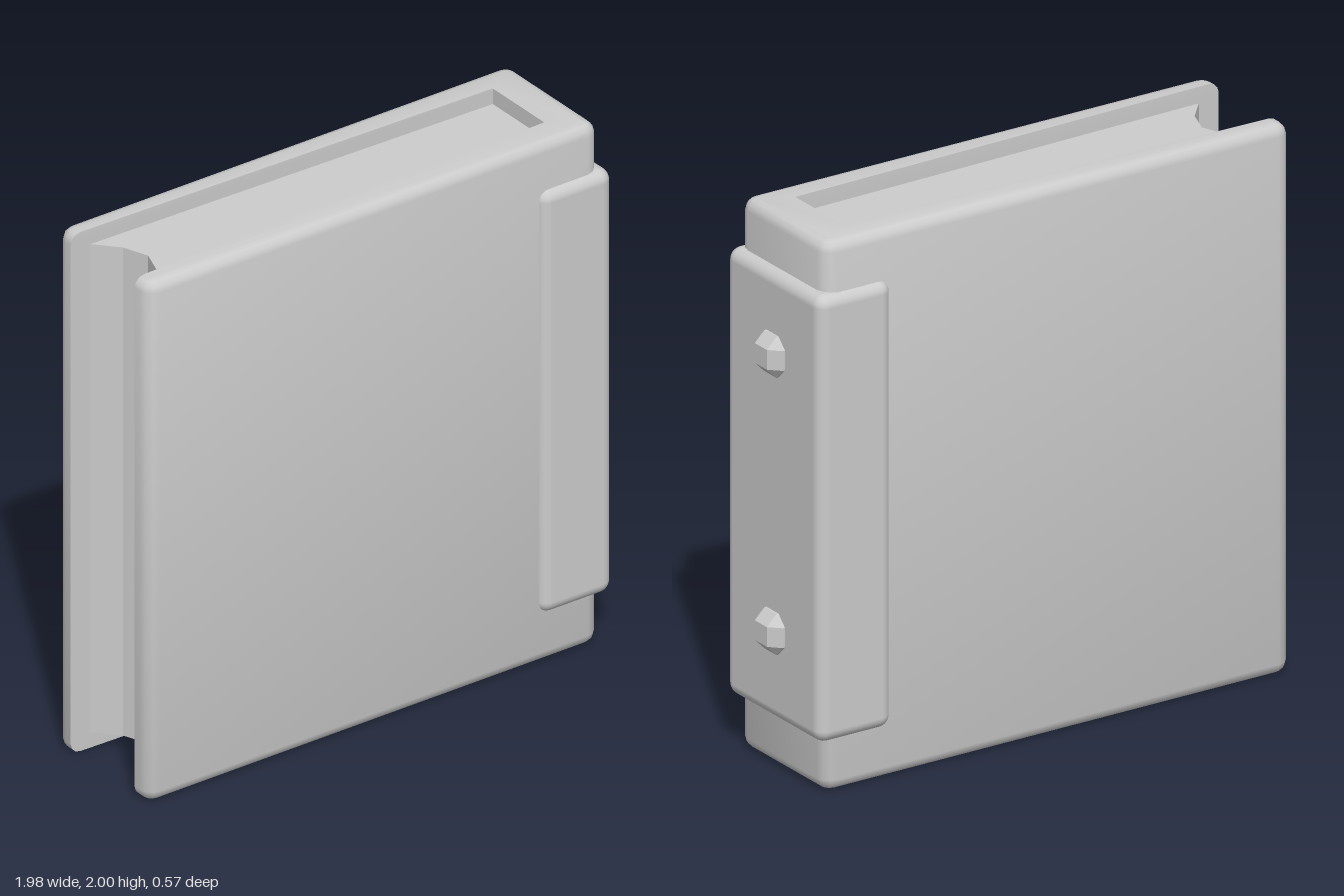
import * as THREE from 'three';
import { toCreasedNormals } from 'three/addons/utils/BufferGeometryUtils.js';
import { RoundedBoxGeometry } from 'three/addons/geometries/RoundedBoxGeometry.js';
import { ConvexGeometry } from 'three/addons/geometries/ConvexGeometry.js';

const X0 = -0.99, X1 = 0.9, HALF = 0.258, HEIGHT = 2;
const CORNER = 0.05, EDGE = 0.04, STEPS = 3;

// U-shaped cover outline as (x, -z); only the outer side moves with the inset
function coverOutline(inset) {
  const points = [new THREE.Vector2(X0 + inset, -0.18)];
  const cx0 = X0 + CORNER, cx1 = X1 - CORNER, cz = HALF - CORNER, r = CORNER - inset;
  [[cx0, -cz, 2], [cx1, -cz, 3], [cx1, cz, 4], [cx0, cz, 5]].forEach(([x, y, quarter]) => {
    for (let i = 0; i <= STEPS; i++) {
      const a = (quarter + i / STEPS) * Math.PI / 2;
      points.push(new THREE.Vector2(x + r * Math.cos(a), y + r * Math.sin(a)));
    }
  });
  points.push(new THREE.Vector2(X0 + inset, 0.18), new THREE.Vector2(0.75, 0.145), new THREE.Vector2(0.75, -0.145));
  return points;
}

// Stacks the outlines upwards, rounding the outer rim at both ends
function coverGeometry() {
  const layers = [];
  for (let i = STEPS; i >= 0; i--) {
    const a = (i / STEPS) * Math.PI / 2;
    layers.push([EDGE * (1 - Math.cos(a)), EDGE * (1 - Math.sin(a))]);
  }
  const upper = layers.map(([inset, y]) => [inset, HEIGHT - y]).reverse();
  const rings = [...layers, ...upper];

  const positions = [], index = [];
  rings.forEach(([inset, y]) => coverOutline(inset).forEach(p => positions.push(p.x, y, -p.y)));
  const n = coverOutline(0).length;
  for (let k = 0; k < rings.length - 1; k++) {
    for (let j = 0; j < n; j++) {
      const a = k * n + j, b = k * n + (j + 1) % n;
      index.push(a, b, b + n, a, b + n, a + n);
    }
  }
  const top = (rings.length - 1) * n;
  THREE.ShapeUtils.triangulateShape(coverOutline(EDGE), []).forEach(([a, b, c]) => {
    index.push(top + a, top + b, top + c, c, b, a);
  });
  const geometry = new THREE.BufferGeometry();
  geometry.setAttribute('position', new THREE.Float32BufferAttribute(positions, 3));
  geometry.setIndex(index);
  return toCreasedNormals(geometry, 0.7);
}

// Page block with a hollow fore-edge, tucked slightly into the cover
function pagesGeometry() {
  const outline = [[-0.91, -0.18], [0.77, -0.15], [0.77, 0.15], [-0.91, 0.18], [-0.835, 0.095], [-0.8, 0], [-0.835, -0.095]];
  const shape = new THREE.Shape(outline.map(([x, y]) => new THREE.Vector2(x, y)));
  return new THREE.ExtrudeGeometry(shape, { depth: 1.88, bevelEnabled: false })
    .rotateX(-Math.PI / 2).translate(0, 0.06, 0);
}

// Stud: a small cube with bevelled edges and corners
function studGeometry() {
  const a = 0.036, b = 0.075, points = [];
  for (const x of [-1, 1]) for (const y of [-1, 1]) for (const z of [-1, 1]) {
    points.push(new THREE.Vector3(x * b, y * a, z * a), new THREE.Vector3(x * a, y * b, z * a), new THREE.Vector3(x * a, y * a, z * b));
  }
  return new ConvexGeometry(points);
}

export function createModel() {
  const group = new THREE.Group();
  const grey = new THREE.MeshStandardMaterial({ color: 0xcccccc });
  const faceted = new THREE.MeshStandardMaterial({ color: 0xcccccc, flatShading: true });
  const add = (name, geometry, material, x = 0, y = 0, z = 0) => {
    const mesh = new THREE.Mesh(geometry, material);
    mesh.name = name;
    mesh.position.set(x, y, z);
    group.add(mesh);
  };

  add('cover', coverGeometry(), grey);
  add('pages', pagesGeometry(), faceted);

  // Sleeve wrapped around the spine, with two studs
  add('spineSleeve', new RoundedBoxGeometry(0.3, 1.63, 0.57, 3, 0.045), grey, 0.79, 1.005, 0);
  const stud = studGeometry();
  add('lowerStud', stud, faceted, 0.912, 0.515, 0);
  add('upperStud', stud, faceted, 0.912, 1.525, 0);

  return group;
}
